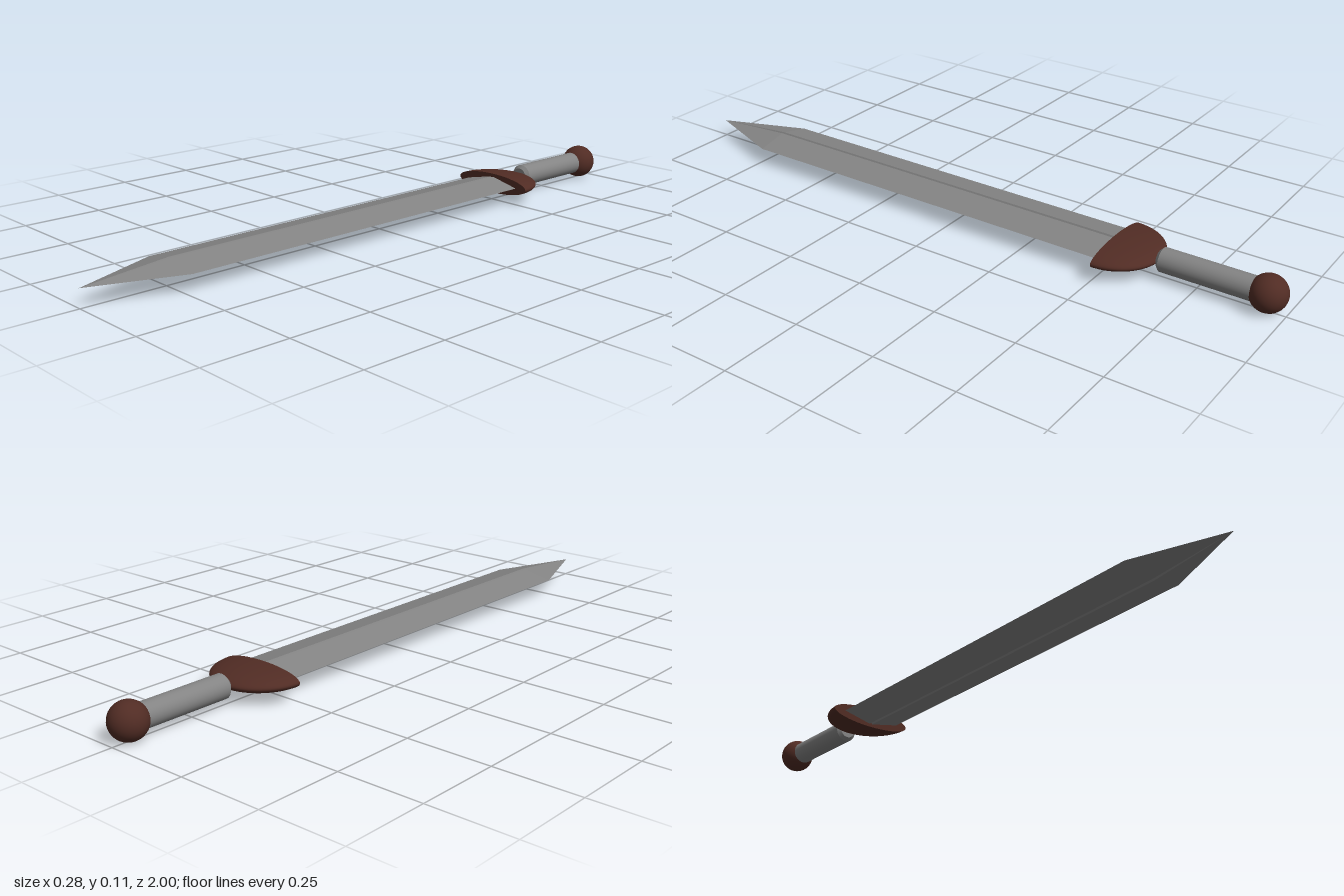
import * as THREE from 'three';

const AXIS_Y = 0.053; // height of the sword's long axis
const brown = new THREE.MeshStandardMaterial({ color: 0x512c24 });
const grey = new THREE.MeshStandardMaterial({ color: 0x848484 });
const bladeGrey = new THREE.MeshStandardMaterial({ color: 0x848484, flatShading: true });

// Diamond section with a V groove on both faces, tapering to a point
function bladeGeometry() {
  const section = [
    [0.1, 0], [0.005, 0.021], [0, 0.012], [-0.005, 0.021],
    [-0.1, 0], [-0.005, -0.021], [0, -0.012], [0.005, -0.021],
  ];
  const stations = [[-0.52, 1], [0.735, 1], [1, 0]]; // z, scale
  const n = section.length;
  const positions = [];
  const indices = [];
  for (const [z, s] of stations) {
    for (const [x, y] of section) positions.push(x * s, y * s, z);
  }
  for (let k = 0; k < stations.length - 1; k++) {
    for (let i = 0; i < n; i++) {
      const a = k * n + i;
      const b = k * n + (i + 1) % n;
      indices.push(a, b, b + n);
      if (stations[k + 1][1] > 0) indices.push(a, b + n, a + n);
    }
  }
  // Back cap
  const centre = positions.length / 3;
  positions.push(0, 0, stations[0][0]);
  for (let i = 0; i < n; i++) indices.push(centre, (i + 1) % n, i);

  const indexed = new THREE.BufferGeometry();
  indexed.setAttribute('position', new THREE.Float32BufferAttribute(positions, 3));
  indexed.setIndex(indices);
  const geometry = indexed.toNonIndexed();
  geometry.computeVertexNormals();
  return geometry;
}

export function createModel() {
  const group = new THREE.Group();
  const add = (name, geometry, material, z = 0) => {
    const mesh = new THREE.Mesh(geometry, material);
    mesh.name = name;
    mesh.position.set(0, AXIS_Y, z);
    group.add(mesh);
  };

  add('blade', bladeGeometry(), bladeGrey);

  // Guard: flattened half dome, closed by a flat face toward the blade
  const dome = new THREE.SphereGeometry(1, 48, 20, 0, Math.PI * 2, 0, Math.PI / 2);
  dome.rotateX(-Math.PI / 2).scale(0.14, 0.031, 0.14);
  add('guard', dome, brown, -0.5);
  const face = new THREE.CircleGeometry(1, 48).scale(0.14, 0.031, 1);
  add('guardFace', face, brown, -0.5);

  // Grip with a small chamfer where it meets the guard
  const grip = new THREE.CylinderGeometry(0.035, 0.035, 0.28, 32).rotateX(Math.PI / 2);
  add('grip', grip, grey, -0.785);
  const collar = new THREE.CylinderGeometry(0.025, 0.035, 0.01, 32).rotateX(Math.PI / 2);
  add('gripCollar', collar, grey, -0.64);

  add('pommel', new THREE.SphereGeometry(0.053, 32, 20), brown, -0.947);

  return group;
}
